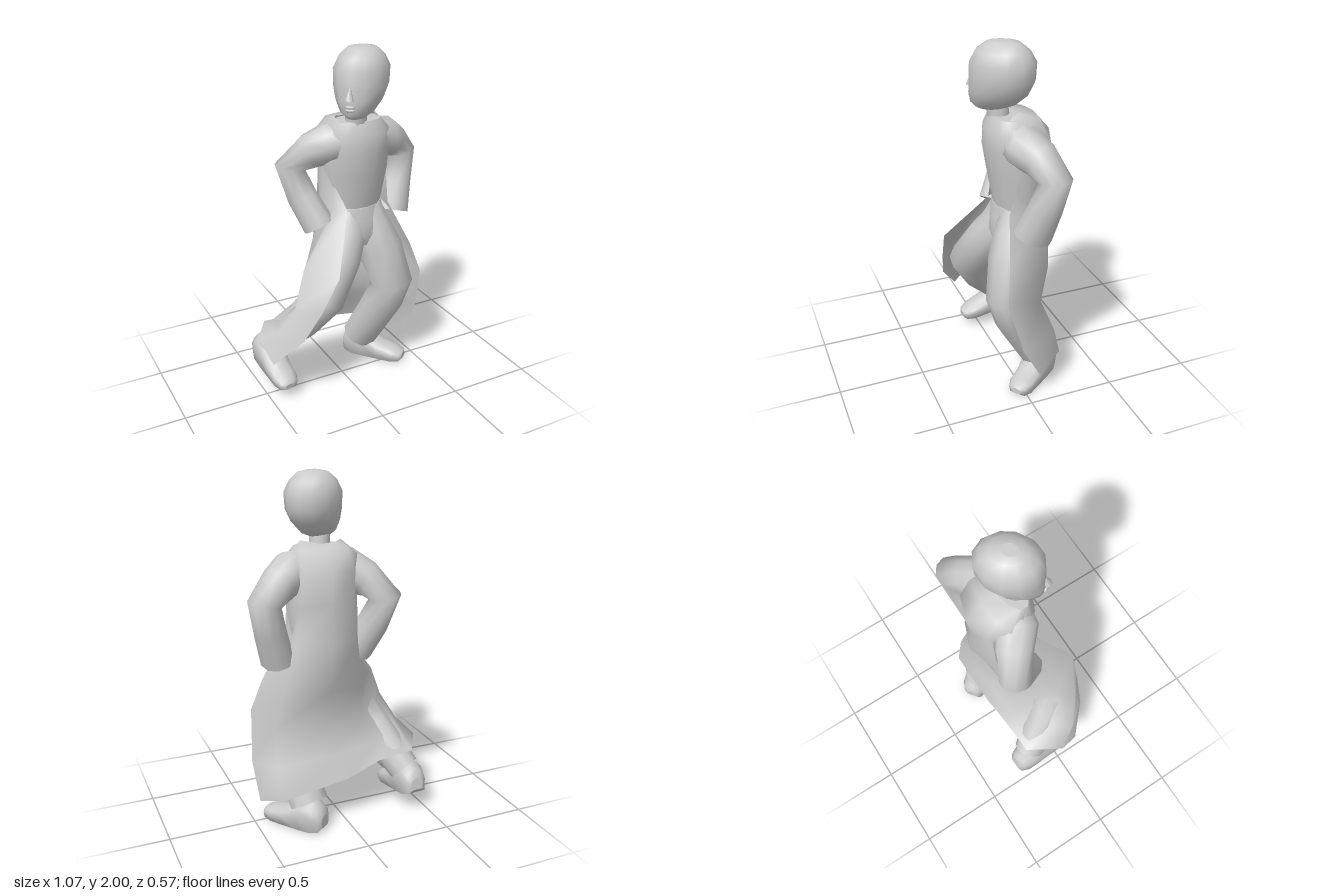
import * as THREE from 'three';

const V = (x, y, z) => new THREE.Vector3(x, y, z);
const X = V(1, 0, 0), Z = V(0, 0, 1);
const material = new THREE.MeshStandardMaterial({ color: 0xcccccc });
const clothMaterial = new THREE.MeshStandardMaterial({ color: 0xcccccc, side: THREE.DoubleSide });

function finish(name, points, index, mat = material) {
  const g = new THREE.BufferGeometry().setFromPoints(points);
  g.setIndex(index);
  g.computeVertexNormals();
  const mesh = new THREE.Mesh(g, mat);
  mesh.name = name;
  return mesh;
}

// Elliptical ring around c in the plane of u and v
function ring(c, u, v, ru, rv, n) {
  return Array.from({ length: n }, (_, i) => {
    const a = (i / n) * Math.PI * 2;
    return c.clone().addScaledVector(u, ru * Math.cos(a)).addScaledVector(v, rv * Math.sin(a));
  });
}

// Closed skin through a list of rings, with flat end caps
function loft(name, rings) {
  const n = rings[0].length, points = rings.flat(), index = [];
  for (let r = 0; r < rings.length - 1; r++)
    for (let i = 0; i < n; i++) {
      const a = r * n + i, b = r * n + (i + 1) % n;
      index.push(a, a + n, b, b, a + n, b + n);
    }
  for (const [r, last] of [[rings[0], false], [rings.at(-1), true]]) {
    const start = points.length;
    const centre = r.reduce((s, p) => s.add(p), V(0, 0, 0)).divideScalar(n);
    points.push(...r.map(p => p.clone()), centre);
    for (let i = 0; i < n; i++) {
      const a = start + i, b = start + (i + 1) % n;
      index.push(...(last ? [a, start + n, b] : [a, b, start + n]));
    }
  }
  return finish(name, points, index);
}

// Body section from horizontal rings [x, y, z, halfWidth, halfDepth]
const body = (name, rows, n = 14) =>
  loft(name, rows.map(([x, y, z, rx, rz]) => ring(V(x, y, z), X, Z, rx, rz, n)));

// Limb from rings [x, y, z, ru, rv] set square to the path
function limb(name, rows, n = 10) {
  const c = rows.map(r => V(r[0], r[1], r[2]));
  return loft(name, rows.map((r, i) => {
    const w = c[Math.min(i + 1, c.length - 1)].clone().sub(c[Math.max(i - 1, 0)]).normalize();
    const u = X.clone().addScaledVector(w, -X.dot(w)).normalize();
    return ring(c[i], u, u.clone().cross(w), r[3], r[4], n);
  }));
}

// Shoe along +z from rows [z, halfWidth, bottom, top], heel at the origin
function shoe(name, position, yaw, pitch) {
  const rows = [[-.015, .04, .03, .1], [0, .065, .01, .15], [.05, .083, 0, .19], [.13, .085, 0, .18],
    [.23, .08, 0, .11], [.32, .075, 0, .085], [.37, .055, .005, .065], [.385, .03, .015, .05]];
  const mesh = loft(name, rows.map(([z, w, lo, hi]) => {
    const pts = ring(V(0, (lo + hi) / 2, z), X, V(0, -1, 0), w, (hi - lo) / 2, 12);
    for (const p of pts) if (p.y < lo + (hi - lo) * .3) p.y = lo;
    return pts;
  }));
  mesh.position.copy(position);
  mesh.rotation.set(pitch, yaw, 0, 'YXZ');
  return mesh;
}

// Open cloth sheet from rows of points
function sheet(name, rows) {
  const n = rows[0].length, index = [];
  for (let r = 0; r < rows.length - 1; r++)
    for (let i = 0; i < n - 1; i++) {
      const a = r * n + i;
      index.push(a, a + 1, a + n, a + 1, a + n + 1, a + n);
    }
  return finish(name, rows.flat().map(p => V(...p)), index, clothMaterial);
}

function makeHead() {
  const head = new THREE.Group();
  head.name = 'head';
  // Skull rows: height, half width, front, back
  const rows = [[1.64, .05, .15, .0], [1.67, .09, .178, -.08], [1.73, .125, .183, -.15],
    [1.8, .147, .175, -.185], [1.89, .15, .172, -.19], [1.95, .122, .14, -.155],
    [1.99, .08, .085, -.105], [2, .035, .04, -.05]];
  head.add(body('skull', rows.map(([y, w, f, b]) => [0, y, (f + b) / 2, w, (f - b) / 2]), 12));
  const nose = new THREE.Mesh(new THREE.ConeGeometry(.024, .08, 6), material);
  nose.name = 'nose';
  nose.position.set(0, 1.785, .176);
  nose.rotation.x = -.2;
  head.add(nose);
  for (const y of [1.695, 1.712]) {
    const lip = new THREE.Mesh(new THREE.SphereGeometry(1, 8, 6), material);
    lip.name = 'lip';
    lip.scale.set(.028, .009, .012);
    lip.position.set(0, y, .178);
    head.add(lip);
  }
  head.position.set(.1, 0, .03);
  head.rotation.y = -.84;
  return head;
}

export function createModel() {
  const model = new THREE.Group();
  model.name = 'figure';

  model.add(makeHead());
  model.add(body('neck', [[.07, 1.56, .03, .06, .06], [.06, 1.72, .05, .055, .06]], 10));
  model.add(body('torso', [[.1, 1.1, -.07, .17, .14], [.1, 1.3, -.045, .195, .15],
    [.1, 1.45, -.035, .2, .165], [.1, 1.54, -.02, .195, .14], [.09, 1.605, .005, .14, .085]]));
  model.add(body('hips', [[.1, .87, -.02, .09, .1], [.1, .94, -.025, .165, .125],
    [.1, 1.02, -.045, .185, .135], [.1, 1.1, -.065, .172, .14]]));

  // Arms, hands at the hips
  model.add(limb('leftArm', [[.16, 1.5, -.02, .1, .11], [.26, 1.475, -.03, .12, .115],
    [.345, 1.43, -.085, .105, .105], [.445, 1.34, -.13, .095, .09],
    [.405, 1.17, -.095, .09, .095], [.355, 1, -.05, .095, .11]]));
  model.add(limb('rightArm', [[.04, 1.5, -.02, .1, .11], [-.05, 1.475, -.04, .12, .115],
    [-.14, 1.42, -.11, .105, .1], [-.24, 1.325, -.165, .09, .09],
    [-.195, 1.16, -.105, .085, .095], [-.13, 1, -.03, .09, .105]]));

  // Trouser legs, knees bent
  model.add(limb('leftLeg', [[.175, 1.06, -.055, .09, .12], [.205, .93, -.015, .115, .13],
    [.24, .81, .02, .135, .135], [.295, .6, .075, .128, .115], [.275, .45, .02, .122, .115],
    [.215, .14, -.15, .115, .105]]));
  model.add(limb('rightLeg', [[.05, 1.06, -.055, .1, .12], [.02, .93, -.01, .125, .13],
    [-.05, .81, .05, .13, .135], [-.18, .62, .125, .12, .12], [-.27, .47, .04, .11, .11],
    [-.395, .24, -.16, .09, .1]]));

  model.add(shoe('leftShoe', V(.17, 0, -.245), .66, 0));
  model.add(shoe('rightShoe', V(-.42, .12, -.275), .06, .17));

  // Long coat, each row running from the left front edge round the back to the right
  const upper = [
    [[.2, 1.58, .05], [.2, 1.64, -.02], [.1, 1.62, -.06], [.01, 1.62, -.04],
      [-.04, 1.63, -.01], [-.04, 1.61, .03], [-.02, 1.58, .05]],
    [[.27, 1.55, .02], [.24, 1.61, -.13], [.1, 1.61, -.15], [-.03, 1.6, -.14],
      [-.1, 1.56, -.1], [-.1, 1.56, -.04], [-.07, 1.55, .02]],
    [[.28, 1.46, 0], [.25, 1.48, -.19], [.1, 1.5, -.245], [-.03, 1.48, -.21],
      [-.1, 1.45, -.1], [-.1, 1.45, -.05], [-.08, 1.45, 0]],
    [[.28, 1.3, 0], [.26, 1.3, -.17], [.1, 1.33, -.225], [-.04, 1.3, -.19],
      [-.1, 1.3, -.1], [-.1, 1.3, -.05], [-.08, 1.3, 0]]];
  const skirt = [
    [[.27, 1.1, .05], [.28, 1.1, -.15], [.1, 1.11, -.25], [-.06, 1.1, -.2],
      [-.09, 1.1, -.08], [-.06, 1.1, .02], [0, 1.1, .07]],
    [[.4, .83, .1], [.365, .8, -.14], [.1, .8, -.17], [-.12, .8, -.15],
      [-.22, .82, 0], [-.29, .81, .1], [-.165, .81, .285]],
    [[.46, .65, .13], [.39, .6, -.09], [.1, .58, -.095], [-.14, .58, -.085],
      [-.32, .6, .08], [-.385, .61, .17], [-.26, .62, .27]],
    [[.488, .36, .05], [.41, .4, -.17], [.08, .42, -.17], [-.2, .45, -.16],
      [-.4, .47, -.01], [-.465, .46, .11], [-.36, .45, .24]],
    [[.48, .16, -.06], [.38, .22, -.22], [0, .28, -.22], [-.2, .35, -.21],
      [-.42, .37, -.2], [-.535, .38, -.01], [-.5, .27, .12]]];
  model.add(sheet('coat', [...upper, ...skirt]));

  return model;
}
